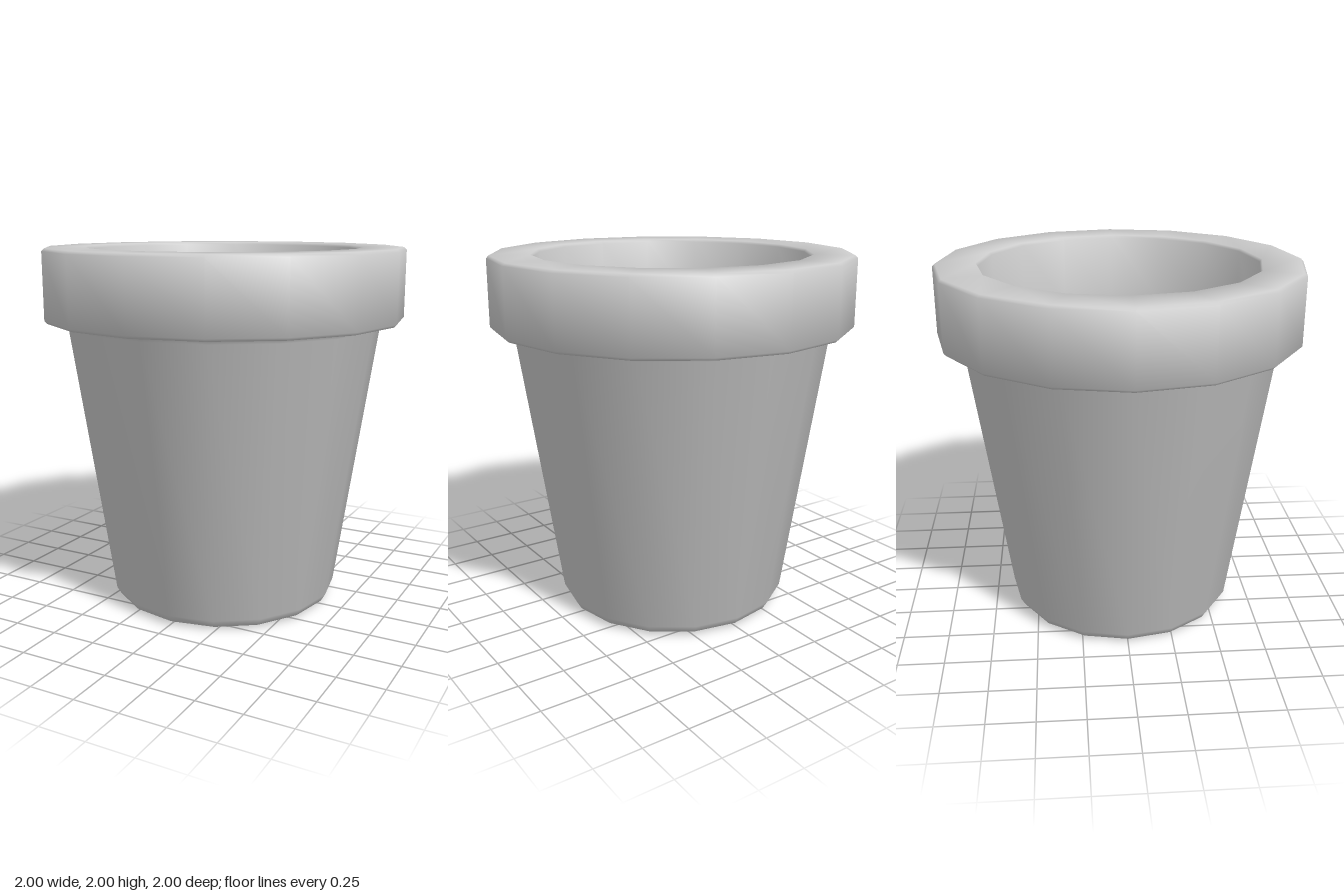
import * as THREE from 'three';

const SIDES = 16;

// Smooth lathe whose corner normals weigh both neighbouring bands equally
function smoothLathe(profile) {
  const points = profile.map(([r, y]) => new THREE.Vector2(r, y));
  const geometry = new THREE.LatheGeometry(points, SIDES);
  const bands = points.slice(1).map((p, i) => {
    const d = p.clone().sub(points[i]).normalize();
    return new THREE.Vector2(d.y, -d.x);
  });
  const normal = geometry.attributes.normal;
  for (let s = 0; s <= SIDES; s++) {
    const a = (s / SIDES) * Math.PI * 2;
    points.forEach((p, j) => {
      const n = new THREE.Vector2();
      if (j > 0) n.add(bands[j - 1]);
      if (j < bands.length) n.add(bands[j]);
      n.normalize();
      normal.setXYZ(s * points.length + j, n.x * Math.sin(a), n.y, n.x * Math.cos(a));
    });
  }
  return geometry;
}

export function createModel() {
  const group = new THREE.Group();
  group.name = 'flowerPot';

  const clay = new THREE.MeshStandardMaterial({ color: 0xcccccc });
  clay.name = 'plain grey clay';

  // One closed skin: base, outer wall, rim, inner wall, floor
  const pot = new THREE.Mesh(smoothLathe([
    // base and its rounded edge
    [0, 0], [0.59, 0], [0.625, 0.018], [0.65, 0.06],
    // tapered outer wall, small fillet under the rim
    [0.873, 1.575], [0.89, 1.605],
    // thick rim with bevelled edges
    [0.985, 1.605], [1, 1.62], [1, 1.985], [0.985, 2],
    [0.77, 2], [0.76, 1.985],
    // inner wall and floor
    [0.76, 1.6], [0.55, 0.1], [0, 0.1],
  ]), clay);
  pot.name = 'pot';
  group.add(pot);

  return group;
}
